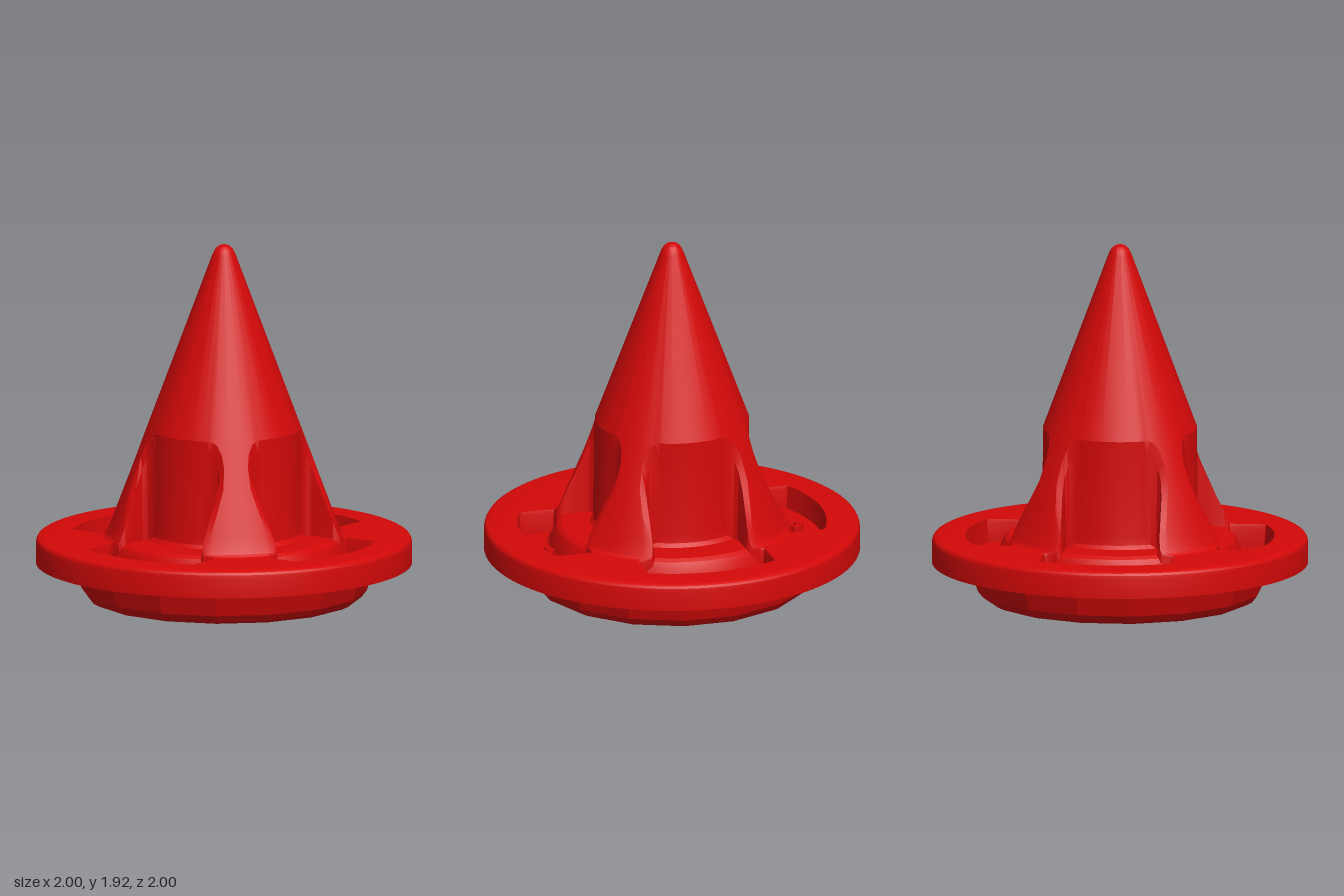
import * as THREE from 'three';
import { toCreasedNormals } from 'three/addons/utils/BufferGeometryUtils.js';

const material = new THREE.MeshStandardMaterial({ color: 0xd40808 });
const facetedMaterial = new THREE.MeshStandardMaterial({ color: 0xd40808, flatShading: true });

function add(parent, name, geometry, mat = material) {
  const mesh = new THREE.Mesh(geometry, mat);
  mesh.name = name;
  parent.add(mesh);
  return mesh;
}

// Cone and flange rings:
// [radius, height, height in pocket, half width of pocket floor, half width at pocket rim]
const rings = [
  [0, 1.92], [0.013, 1.919], [0.027, 1.914], [0.04, 1.904], [0.05, 1.891], [0.058, 1.875], [0.064, 1.86],
  [0.41, 0.93, 0.93, 0.17, 0.2],
  [0.412, 0.925, 0.41, 0.175, 0.2],
  [0.418, 0.909, 0.37, 0.2, 0.222],
  [0.435, 0.863, 0.35, 0.23, 0.252],
  [0.46, 0.796, 0.35, 0.247, 0.277],
  [0.5, 0.688, 0.35, 0.25, 0.298],
  [0.55, 0.554, 0.35, 0.25, 0.298],
  [0.59, 0.447, 0.348, 0.252, 0.293],
  [0.612, 0.388, 0.333, 0.262, 0.29],
  [0.626, 0.362, 0.31, 0.275, 0.295],
  [0.64, 0.35, 0.27, 0.325, 0.335],
  [0.652, 0.346, 0.235, 0.343, 0.35],
  [0.668, 0.345, 0.22, 0.345, 0.352],
  [0.812, 0.345, 0.22, 0.345, 0.352],
  [0.822, 0.345, 0.345, 0.345, 0.352],
  [0.965, 0.345], [0.978, 0.342], [0.99, 0.335], [0.997, 0.323], [1, 0.305], [1, 0.2],
  // hollow underside of the flange and the collar
  [0.983, 0.2], [0.975, 0.31], [0.84, 0.31], [0.83, 0.2], [0.83, 0.165], [0.74, 0.165],
];

function bodyGeometry(steps = 12) {
  const grid = rings.map(([r, y, pocketY = y, floorW, rimW]) => {
    // plain rings keep the angles of the nearest ring with a pocket
    const [w, outerW, ref] = floorW ? [floorW, rimW, r] : r < 0.41 ? [0.17, 0.2, 0.41] : [0.345, 0.352, 0.822];
    const half = Math.asin(w / ref), rim = Math.asin(outerW / ref);
    const shoulder = half + (rim - half) * 0.3, shoulderY = pocketY + (y - pocketY) * 0.85;
    const row = [];
    for (let q = 0; q < 4; q++) {
      const put = (angle, height) => {
        const t = angle + q * Math.PI / 2;
        row.push(new THREE.Vector3(r * Math.sin(t), height, r * Math.cos(t)));
      };
      put(-shoulder, shoulderY);
      for (let i = 0; i <= steps; i++) put(-half + 2 * half * i / steps, pocketY);
      put(shoulder, shoulderY);
      for (let i = 0; i <= steps; i++) put(rim + (Math.PI / 2 - 2 * rim) * i / steps, y);
    }
    return row;
  });
  const positions = [];
  const tri = new THREE.Triangle();
  const face = (a, b, c) => {
    if (tri.set(a, b, c).getArea() > 1e-8) for (const p of [a, b, c]) positions.push(p.x, p.y, p.z);
  };
  for (let i = 0; i < grid.length - 1; i++) {
    const n = grid[i].length;
    for (let j = 0; j < n; j++) {
      const k = (j + 1) % n;
      face(grid[i][j], grid[i + 1][j], grid[i + 1][k]);
      face(grid[i][j], grid[i + 1][k], grid[i][k]);
    }
  }
  const geometry = new THREE.BufferGeometry();
  geometry.setAttribute('position', new THREE.Float32BufferAttribute(positions, 3));
  return toCreasedNormals(geometry, 0.34);
}

export function createModel() {
  const model = new THREE.Group();
  model.name = 'coneFloat';
  add(model, 'coneAndFlange', bodyGeometry());

  // Faceted base bowl with a sunken round bottom
  const bowl = [[0.54, 0.028], [0.57, 0.012], [0.6, 0], [0.7, 0.003], [0.733, 0.02], [0.76, 0.055], [0.797, 0.168]]
    .map(([x, y]) => new THREE.Vector2(x, y));
  add(model, 'baseBowl', new THREE.LatheGeometry(bowl, 16, Math.PI / 16), facetedMaterial);
  add(model, 'basePlate', new THREE.CylinderGeometry(0.56, 0.56, 0.01, 48)).position.y = 0.027;

  // Stiffening ribs in the hollow under the flange
  for (let i = 0; i < 12; i++) {
    const arm = new THREE.Group();
    arm.name = 'flangeRib';
    arm.rotation.y = i * Math.PI / 6;
    add(arm, 'rib', new THREE.BoxGeometry(0.025, 0.11, 0.15)).position.set(0, 0.26, 0.905);
    model.add(arm);
  }

  // A bolt in each flange recess
  for (let i = 0; i < 4; i++) {
    const arm = new THREE.Group();
    arm.name = 'recessBolt';
    arm.rotation.y = i * Math.PI / 2;
    add(arm, 'nut', new THREE.CylinderGeometry(0.04, 0.04, 0.04, 6), facetedMaterial).position.set(0, 0.235, 0.69);
    add(arm, 'stud', toCreasedNormals(new THREE.CylinderGeometry(0.017, 0.017, 0.05, 12), 0.6)).position.set(0, 0.245, 0.69);
    model.add(arm);
  }
  return model;
}
